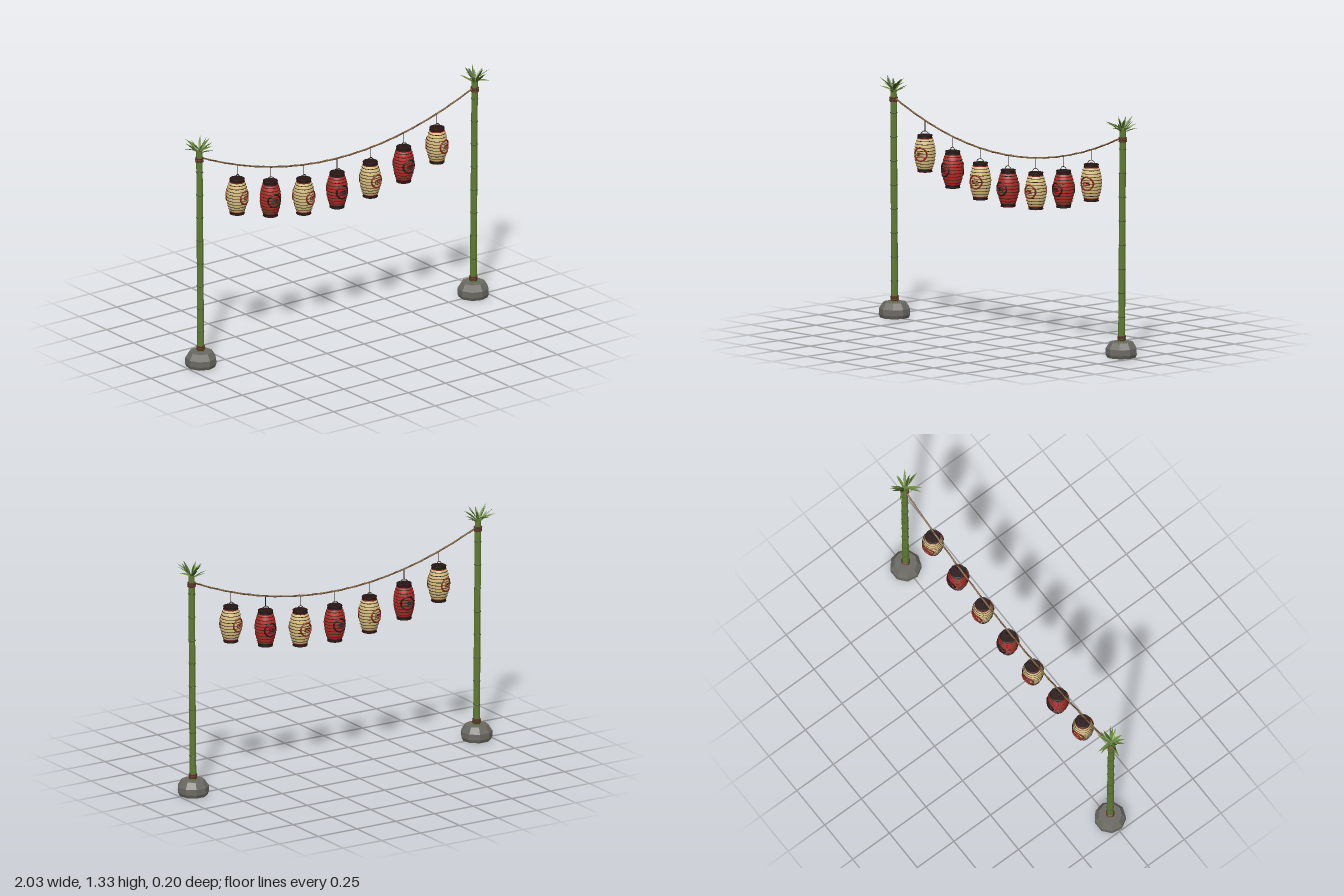
import * as THREE from 'three';

const material = (name, color, extra = {}) => {
  const m = new THREE.MeshStandardMaterial({ color, ...extra });
  m.name = name;
  return m;
};

const MAT = {
  stone: material('stone grey', 0x6a6861, { flatShading: true }),
  bamboo: material('bamboo green', 0x607a32, { flatShading: true }),
  darkGreen: material('dark green', 0x3e5524, { side: THREE.DoubleSide, flatShading: true }),
  leaf: material('leaf green', 0x6c8a3c, { side: THREE.DoubleSide, flatShading: true }),
  rope: material('rope tan', 0x7d6440),
  binding: material('binding brown', 0x583622),
  cream: material('paper cream', 0xd8c07e),
  red: material('paper red', 0xb32d26),
  dark: material('dark lacquer', 0x261614),
  crest: material('crest red', 0x84221a),
};

function add(parent, name, geometry, mat, x = 0, y = 0, z = 0) {
  const mesh = new THREE.Mesh(geometry, mat);
  mesh.name = name;
  mesh.position.set(x, y, z);
  parent.add(mesh);
  return mesh;
}

function addRing(parent, name, radius, tube, y, mat, sides = 16) {
  const ring = add(parent, name, new THREE.TorusGeometry(radius, tube, 6, sides), mat, 0, y, 0);
  ring.rotation.x = Math.PI / 2;
}

const lathe = (points, sides) =>
  new THREE.LatheGeometry(points.map(([r, y]) => new THREE.Vector2(r, y)), sides);

const ropeY = (x) => 1.0 + 0.2 * (x / 0.9) ** 2;

// Curved, folded blade that grows along +x and droops at the tip
function leafGeometry(length, width, rise) {
  const steps = 5, pos = [], index = [];
  for (let i = 0; i <= steps; i++) {
    const t = i / steps;
    const w = width * Math.sin(Math.PI * (0.08 + 0.92 * t ** 0.75));
    const x = length * t * Math.cos(rise);
    const y = length * (t * Math.sin(rise) - 0.1 * t * t * Math.cos(rise));
    pos.push(x, y + w * 0.25, -w / 2, x, y, 0, x, y + w * 0.25, w / 2);
    if (i < steps) {
      for (const k of [0, 1]) {
        const a = i * 3 + k;
        index.push(a, a + 1, a + 3, a + 1, a + 4, a + 3);
      }
    }
  }
  const g = new THREE.BufferGeometry();
  g.setAttribute('position', new THREE.Float32BufferAttribute(pos, 3));
  g.setIndex(index);
  g.computeVertexNormals();
  return g;
}

function createPost(side) {
  const post = new THREE.Group();
  post.name = side > 0 ? 'leftPost' : 'rightPost';
  post.position.x = side * 0.914;

  // Faceted foot stone
  add(post, 'footStone', lathe([[0, 0], [0.079, 0], [0.087, 0.018], [0.086, 0.05], [0.064, 0.085], [0, 0.085]], 9),
    MAT.stone);

  // Slightly leaning bamboo pole
  const pole = new THREE.Group();
  pole.name = 'bamboo';
  pole.rotation.z = -side * 0.008;
  post.add(pole);
  add(pole, 'pole', new THREE.CylinderGeometry(0.0175, 0.019, 1.18, 8), MAT.bamboo, 0, 0.66, 0);
  for (let i = 0; i < 8; i++) {
    addRing(pole, 'poleNode', 0.0185, 0.0026, 0.2 + i * 0.132 + (side > 0 ? 0.02 : 0), MAT.darkGreen, 8);
  }

  // Rope bindings near the foot and the top
  for (const base of [0.097, 1.188]) {
    for (let i = 0; i < 3; i++) addRing(pole, 'binding', 0.0195, 0.0045, base + i * 0.009, MAT.binding);
  }

  // Leaf tuft
  const tuft = new THREE.Group();
  tuft.name = 'leafTuft';
  tuft.position.y = 1.235;
  pole.add(tuft);
  for (let i = 0; i < 18; i++) {
    const length = 0.078 + 0.026 * ((i * 7) % 5) / 4;
    const rise = 0.4 + 0.7 * ((i * 5) % 7) / 6;
    const angle = i * 2.4 + side + 0.5 * Math.sin(i * 5);
    const leaf = add(tuft, 'leaf', leafGeometry(length, 0.016, rise), i % 4 ? MAT.leaf : MAT.darkGreen,
      Math.cos(angle) * 0.008, 0.01 * (i % 3), -Math.sin(angle) * 0.008);
    leaf.rotation.set(0.4 * Math.sin(i * 3), angle, 0, 'YXZ');
  }
  return post;
}

// Paper barrel radius at height v from its middle
const paperRadius = (v) => 0.0575 - 0.0185 * Math.pow(Math.abs(v) / 0.088, 2.2);

// Thin tube that follows the barrel surface through flat (u, v) points
function surfaceTube(points, closed, tube, segments) {
  const path = points.map(([u, v]) =>
    new THREE.Vector3(u, v, Math.sqrt(paperRadius(v) ** 2 - u * u) + 0.0015));
  return new THREE.TubeGeometry(new THREE.CatmullRomCurve3(path, closed), segments, tube, 6, closed);
}

function createLantern(paper, trim) {
  const lantern = new THREE.Group();
  lantern.name = 'lantern';

  // Paper barrel with thin hoops
  const profile = [];
  for (let i = 0; i <= 16; i++) {
    const v = -0.088 + 0.011 * i;
    profile.push([paperRadius(v), v]);
  }
  add(lantern, 'paperBody', lathe(profile, 20), paper);
  for (let i = -4; i <= 4; i++) {
    const v = i * 0.0175;
    addRing(lantern, 'hoop', paperRadius(v), 0.0018, v, MAT.dark, 16);
  }

  // Lacquered end caps with rims
  for (const s of [-1, 1]) {
    add(lantern, 'cap', new THREE.CylinderGeometry(0.04, 0.04, 0.018, 20), MAT.dark, 0, s * 0.092, 0);
    addRing(lantern, 'capRim', 0.04, 0.003, s * 0.084, trim, 20);
    addRing(lantern, 'capEdge', 0.039, 0.003, s * 0.099, MAT.dark, 20);
  }

  // Round crest with plain bars, front and back
  const circle = Array.from({ length: 20 }, (_, i) => {
    const a = (i / 20) * Math.PI * 2;
    return [0.036 * Math.cos(a), 0.036 * Math.sin(a)];
  });
  for (const turn of [0, Math.PI]) {
    const crest = new THREE.Group();
    crest.name = 'crest';
    crest.rotation.y = turn;
    lantern.add(crest);
    add(crest, 'crestRing', surfaceTube(circle, true, 0.0045, 32), trim);
    for (const [w, v] of [[0.018, 0.007], [0.021, -0.007]]) {
      add(crest, 'crestBar', surfaceTube([[-w, v], [0, v], [w, v]], false, 0.0035, 8), trim);
    }
  }

  // Wire handle and hanging cord
  add(lantern, 'handle', new THREE.TorusGeometry(0.024, 0.002, 6, 14, Math.PI), MAT.dark, 0, 0.098, 0);
  add(lantern, 'cord', new THREE.CylinderGeometry(0.0018, 0.0018, 0.058, 6), MAT.dark, 0, 0.151, 0);
  return lantern;
}

export function createModel() {
  const model = new THREE.Group();
  model.name = 'lanternGarland';

  for (const side of [-1, 1]) model.add(createPost(side));

  // Sagging rope: a tan core with a thin brown strand wound round it
  for (const [name, offset, tube, mat] of [
    ['ropeCore', 0, 0.0046, MAT.rope],
    ['ropeStrand', 0.0034, 0.0024, MAT.binding],
  ]) {
    const path = Array.from({ length: 181 }, (_, i) => {
      const x = -0.905 + (1.81 * i) / 180;
      return new THREE.Vector3(x, ropeY(x) + offset * Math.sin(x * 60), offset * Math.cos(x * 60));
    });
    add(model, name, new THREE.TubeGeometry(new THREE.CatmullRomCurve3(path), 240, tube, 6), mat);
  }

  // Seven lanterns, cream and red in turn
  const yaws = [0.35, -0.2, 0.3, 0, 0.15, 0, 0.35];
  yaws.forEach((yaw, i) => {
    const x = (i - 3) * 0.2235;
    const isRed = i % 2 === 1;
    const lantern = createLantern(isRed ? MAT.red : MAT.cream, isRed ? MAT.dark : MAT.crest);
    lantern.position.set(x, ropeY(x) - 0.18, 0);
    lantern.rotation.y = yaw;
    model.add(lantern);
  });
  return model;
}
